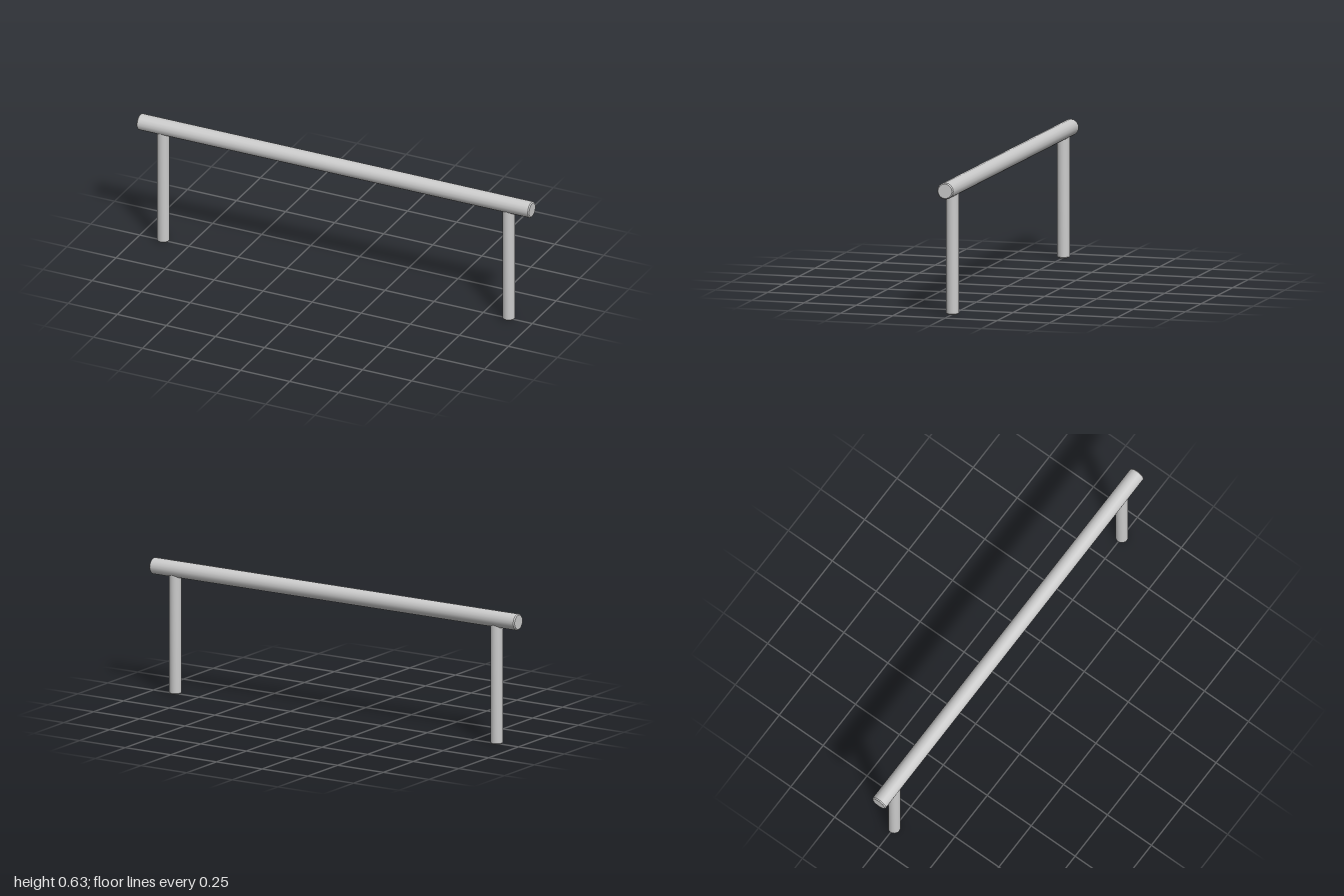
import * as THREE from 'three';
import { toCreasedNormals } from 'three/addons/utils/BufferGeometryUtils.js';

const material = new THREE.MeshStandardMaterial({ color: 0xcccccc });

// Upright round rod, centred on its length, with a small bevel at both ends
function rod(name, radius, length, bevel, sides) {
  const h = length / 2;
  const profile = [
    [0, -h], [radius - bevel, -h], [radius, -h + bevel],
    [radius, h - bevel], [radius - bevel, h], [0, h],
  ].map(([r, y]) => new THREE.Vector2(r, y));
  const geometry = toCreasedNormals(new THREE.LatheGeometry(profile, sides), 0.6);
  const mesh = new THREE.Mesh(geometry, material);
  mesh.name = name;
  return mesh;
}

export function createModel() {
  const group = new THREE.Group();
  group.name = 'barHandle';
  const barY = 0.588;

  // Long horizontal grip
  const grip = rod('gripBar', 0.0385, 2, 0.005, 16);
  grip.rotation.z = Math.PI / 2;
  grip.position.y = barY;
  group.add(grip);

  // Two posts, running up into the grip
  for (const [name, side] of [['leftPost', 1], ['rightPost', -1]]) {
    const post = rod(name, 0.0295, barY, 0.006, 16);
    post.position.set(side * 0.88, barY / 2, 0);
    group.add(post);
  }
  return group;
}
